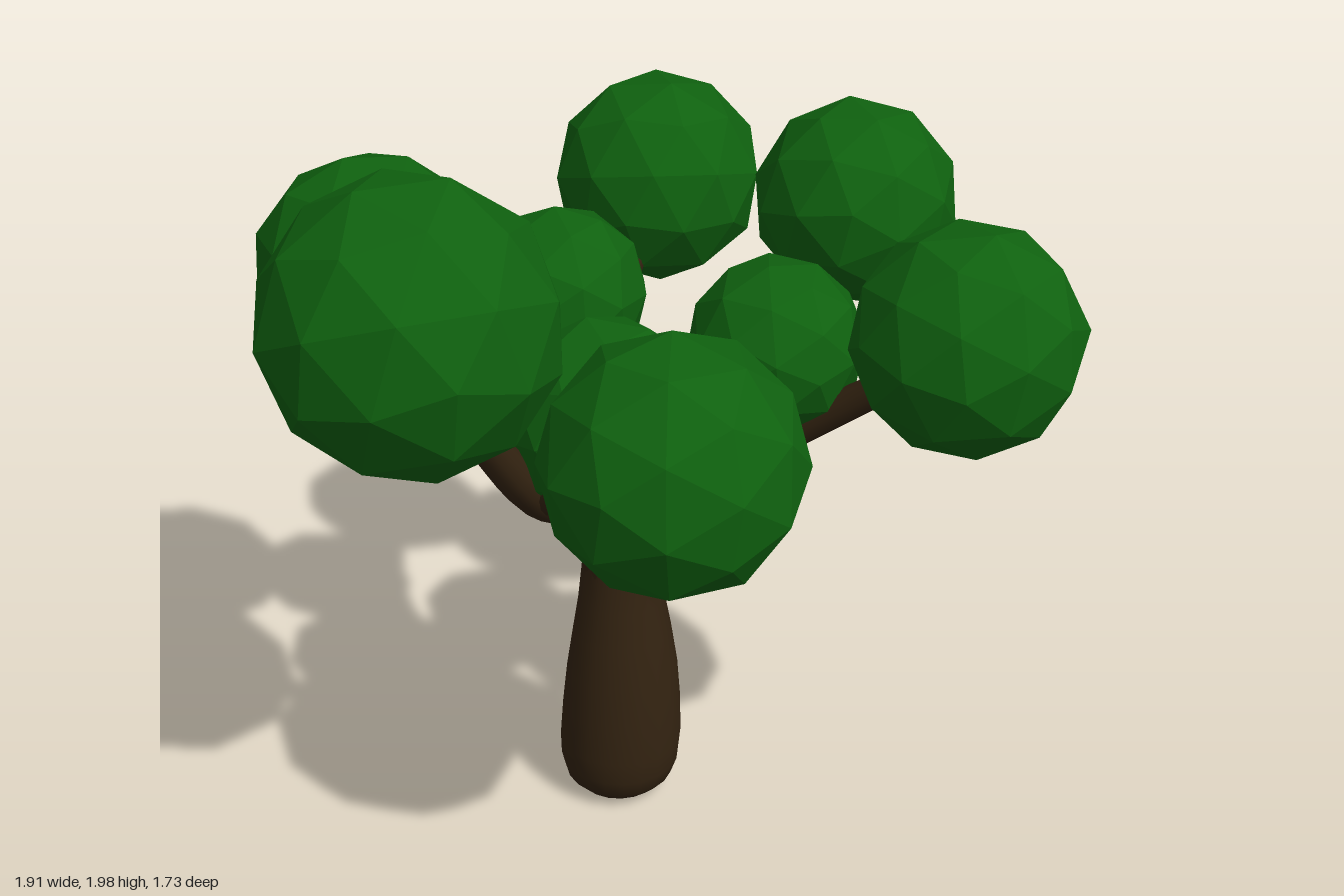
import * as THREE from 'three';
import { mergeVertices } from 'three/addons/utils/BufferGeometryUtils.js';

const vec = (p) => new THREE.Vector3(p[0], p[1], p[2]);

// Smooth tube along points [x, y, z, radius], its thickness following the radii
function taperedTube(points, segments = 18, sides = 12) {
  const curve = new THREE.CatmullRomCurve3(points.map(vec));
  const geometry = new THREE.TubeGeometry(curve, segments, 1, sides, false);
  const pos = geometry.attributes.position;
  const v = new THREE.Vector3();
  for (let i = 0; i <= segments; i++) {
    const centre = curve.getPointAt(i / segments);
    const t = curve.getUtoTmapping(i / segments) * (points.length - 1);
    const k = Math.min(Math.floor(t), points.length - 2);
    const radius = THREE.MathUtils.lerp(points[k][3], points[k + 1][3], t - k);
    for (let j = 0; j <= sides; j++) {
      const n = i * (sides + 1) + j;
      v.fromBufferAttribute(pos, n).sub(centre).multiplyScalar(radius).add(centre);
      pos.setXYZ(n, v.x, v.y, v.z);
    }
  }
  geometry.deleteAttribute('uv');
  geometry.deleteAttribute('normal');
  const merged = mergeVertices(geometry, 1e-4);
  merged.computeVertexNormals();
  return merged;
}

export function createModel() {
  const tree = new THREE.Group();
  tree.name = 'tree';

  const bark = new THREE.MeshStandardMaterial({ color: 0x332311 });
  bark.name = 'dark brown bark';
  const leaf = new THREE.MeshStandardMaterial({ color: 0x0f610f, flatShading: true });
  leaf.name = 'deep green leaves';

  const add = (name, geometry, material) => {
    const mesh = new THREE.Mesh(geometry, material);
    mesh.name = name;
    tree.add(mesh);
    return mesh;
  };

  // Trunk: rounded foot, narrow waist, leaning a hair to the left in the middle
  const profile = [
    [0, 0.005], [0.07, 0.008], [0.115, 0.022], [0.147, 0.055], [0.162, 0.105], [0.166, 0.17],
    [0.161, 0.28], [0.15, 0.4], [0.132, 0.52], [0.115, 0.62], [0.102, 0.72], [0.1, 0.8],
    [0.097, 0.86], [0.075, 0.91], [0, 0.94],
  ].map(([r, y]) => new THREE.Vector2(r, y));
  const trunk = new THREE.LatheGeometry(profile, 20);
  const tp = trunk.attributes.position;
  for (let i = 0; i < tp.count; i++) {
    const y = tp.getY(i);
    tp.setX(i, tp.getX(i) + 0.012 * Math.sin(Math.min(y / 0.9, 1) * Math.PI));
  }
  add('trunk', trunk, bark).position.z = -0.12;

  // Branches: three main limbs out of the trunk, each with side branches
  const branches = {
    leftLimb: [[0, 0.72, -0.12, 0.096], [0.03, 0.87, -0.11, 0.092], [0.15, 0.97, -0.06, 0.066],
      [0.33, 1.11, 0.06, 0.053], [0.5, 1.29, 0.24, 0.042], [0.63, 1.47, 0.43, 0.034]],
    leftInnerBranch: [[0.31, 1.09, 0.05, 0.04], [0.35, 1.19, 0.05, 0.038], [0.37, 1.32, 0.03, 0.032]],
    leftBackBranch: [[0.36, 1.25, 0.04, 0.033], [0.46, 1.33, -0.06, 0.032], [0.62, 1.5, -0.15, 0.027]],
    rightLimb: [[0, 0.72, -0.12, 0.096], [-0.03, 0.87, -0.11, 0.092], [-0.13, 0.97, -0.05, 0.07],
      [-0.28, 1.08, 0.05, 0.055], [-0.42, 1.28, 0.11, 0.046], [-0.56, 1.5, 0.16, 0.036]],
    rightFrontBranch: [[-0.24, 1.05, 0.03, 0.046], [-0.25, 1.13, 0.18, 0.042],
      [-0.21, 1.2, 0.33, 0.036], [-0.15, 1.33, 0.5, 0.03]],
    rightInnerBranch: [[-0.14, 0.98, -0.04, 0.045], [-0.13, 1.1, 0.01, 0.04], [-0.1, 1.24, 0.04, 0.032]],
    backLimb: [[0, 0.72, -0.12, 0.096], [-0.01, 0.87, -0.14, 0.09], [-0.03, 1.03, -0.2, 0.067],
      [0, 1.2, -0.26, 0.055], [0.1, 1.37, -0.38, 0.046], [0.26, 1.53, -0.54, 0.038]],
    backRightBranch: [[-0.02, 1.1, -0.23, 0.05], [-0.15, 1.19, -0.32, 0.044],
      [-0.3, 1.28, -0.43, 0.038], [-0.45, 1.42, -0.53, 0.032]],
    backInnerBranch: [[-0.02, 1.13, -0.24, 0.042], [-0.05, 1.25, -0.29, 0.036], [-0.07, 1.38, -0.34, 0.03]],
  };
  for (const [name, points] of Object.entries(branches)) add(name, taperedTube(points), bark);

  // Foliage: faceted balls [x, y, z, radius], each turned differently
  const balls = [
    [-0.605, 1.645, 0.17, 0.355], [-0.13, 1.4, 0.56, 0.308], [0.655, 1.52, 0.46, 0.282],
    [0.685, 1.615, -0.195, 0.264], [0.3, 1.592, -0.59, 0.276], [-0.5, 1.46, -0.56, 0.308],
    [-0.07, 1.42, -0.34, 0.226], [-0.1, 1.26, 0.05, 0.253], [0.365, 1.37, 0.035, 0.224],
  ];
  balls.forEach(([x, y, z, r], i) => {
    const ball = add('foliageBall' + (i + 1), new THREE.IcosahedronGeometry(r, 1), leaf);
    ball.position.set(x, y, z);
    ball.rotation.set(0.55 + i * 1.3, i * 2.1, i * 0.7);
  });

  return tree;
}
